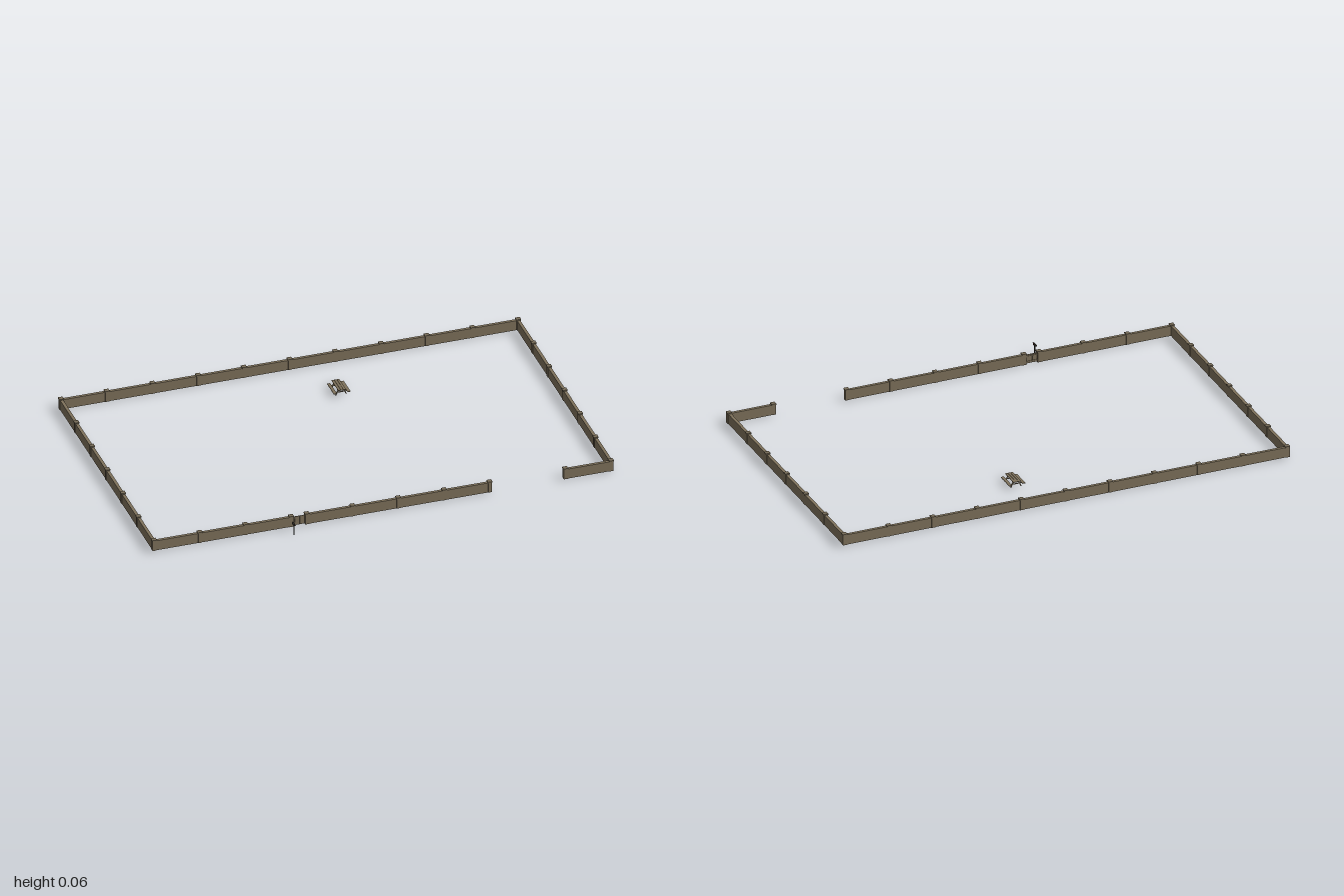
import * as THREE from 'three';

const mat = (name, color) => new THREE.MeshStandardMaterial({ name, color });

export function createModel() {
  const wood = mat('weathered wood', 0x7f725c);
  const capWood = mat('post wood', 0x776c58);
  const dark = mat('dark metal', 0x35312b);
  const red = mat('flag red', 0x7a2a22);

  const model = new THREE.Group();
  model.name = 'fencedYard';

  const group = (name, parent = model) => {
    const g = new THREE.Group();
    g.name = name;
    parent.add(g);
    return g;
  };
  const box = (parent, name, material, size, pos) => {
    const mesh = new THREE.Mesh(new THREE.BoxGeometry(...size), material);
    mesh.name = name;
    mesh.position.set(...pos);
    parent.add(mesh);
    return mesh;
  };

  const STEP = 0.198, X = 0.99, FRONT = 0.56, BACK = -0.628;
  const BOTTOM = 0.004, TOP = 0.049, H = TOP - BOTTOM, MID = (TOP + BOTTOM) / 2;

  // A straight run of fence between two points, with posts at even spacing
  const fenceRun = (name, x0, z0, x1, z1, panels, firstPost = 0, lastPost = panels) => {
    const run = group(name);
    const alongX = z0 === z1;
    const length = Math.abs(x1 - x0) + Math.abs(z1 - z0);
    const panel = length / panels;
    for (let i = 0; i < panels; i++) {
      const t = (i + 0.5) / panels;
      const x = x0 + (x1 - x0) * t, z = z0 + (z1 - z0) * t;
      box(run, 'fencePanel', wood, alongX ? [panel, H, 0.013] : [0.013, H, panel], [x, MID, z]);
    }
    for (let i = firstPost; i <= lastPost; i++) {
      const t = i / panels;
      const x = x0 + (x1 - x0) * t, z = z0 + (z1 - z0) * t;
      box(run, 'fencePost', wood, [0.017, H + 0.001, 0.017], [x, MID + 0.0005, z]);
      box(run, 'postCap', capWood, [0.02, 0.005, 0.02], [x, TOP + 0.003, z]);
    }
  };

  fenceRun('backFence', -X, BACK, X, BACK, 10);
  fenceRun('leftFence', X, BACK, X, FRONT, 6, 1, 5);
  fenceRun('rightFence', -X, BACK, -X, FRONT, 6, 1, 5);
  fenceRun('frontFenceRight', -X, FRONT, -X + 3 * STEP, FRONT, 3);
  fenceRun('frontFenceMiddle', -0.328, FRONT, -0.328 + 4 * STEP, FRONT, 4);
  fenceRun('frontFenceLeft', X - STEP, FRONT, X, FRONT, 1);

  // Small gate in the front fence
  const gate = group('gate');
  const gateX = (-0.396 - 0.328) / 2;
  for (let i = -3; i <= 3; i++) {
    box(gate, 'gateBoard', wood, [0.0064, 0.04, 0.003], [gateX + i * 0.0072, 0.026, FRONT]);
  }
  for (const y of [0.014, 0.038]) {
    box(gate, 'gateRail', wood, [0.054, 0.005, 0.003], [gateX, y, FRONT - 0.002]);
  }

  // Picnic table with its length along z
  const table = group('picnicTable');
  table.position.set(0.136, 0, -0.4);
  for (let i = -1; i <= 1; i++) {
    box(table, 'tabletopBoard', wood, [0.0102, 0.0025, 0.088], [i * 0.0114, 0.03, 0]);
  }
  for (const side of [-1, 1]) {
    box(table, 'benchBoard', wood, [0.013, 0.0025, 0.088], [side * 0.0295, 0.0175, 0]);
  }
  for (const z of [-0.028, 0.028]) {
    box(table, 'benchSupport', wood, [0.07, 0.0035, 0.003], [0, 0.0145, z]);
    box(table, 'topSupport', wood, [0.032, 0.003, 0.003], [0, 0.0273, z]);
    for (const side of [-1, 1]) {
      const leg = box(table, 'tableLeg', wood, [0.004, 0.0315, 0.003], [side * 0.0165, 0.0146, z]);
      leg.rotation.z = side * 0.42;
    }
  }

  // Mailbox on a post beside the gate
  const mailbox = group('mailbox');
  mailbox.position.set(-0.405, 0, 0.6225);
  box(mailbox, 'mailboxPost', dark, [0.004, 0.047, 0.004], [0, 0.0235, 0.002]);
  box(mailbox, 'mailboxBody', dark, [0.0075, 0.0055, 0.02], [0, 0.0485, -0.0015]);
  const roof = new THREE.Mesh(
    new THREE.CylinderGeometry(0.00375, 0.00375, 0.02, 16, 1, false, 0, Math.PI), dark);
  roof.name = 'mailboxRoof';
  roof.rotation.set(-Math.PI / 2, Math.PI / 2, 0, 'ZXY');
  roof.rotation.set(0, 0, 0);
  roof.geometry.rotateZ(Math.PI / 2).rotateY(Math.PI / 2);
  roof.position.set(0, 0.0512, -0.0015);
  mailbox.add(roof);
  box(mailbox, 'mailboxDoor', dark, [0.0065, 0.001, 0.007], [0, 0.0525, 0.012]);
  box(mailbox, 'mailboxFlag', red, [0.0008, 0.004, 0.002], [0.0041, 0.051, 0.002]);

  return model;
}
